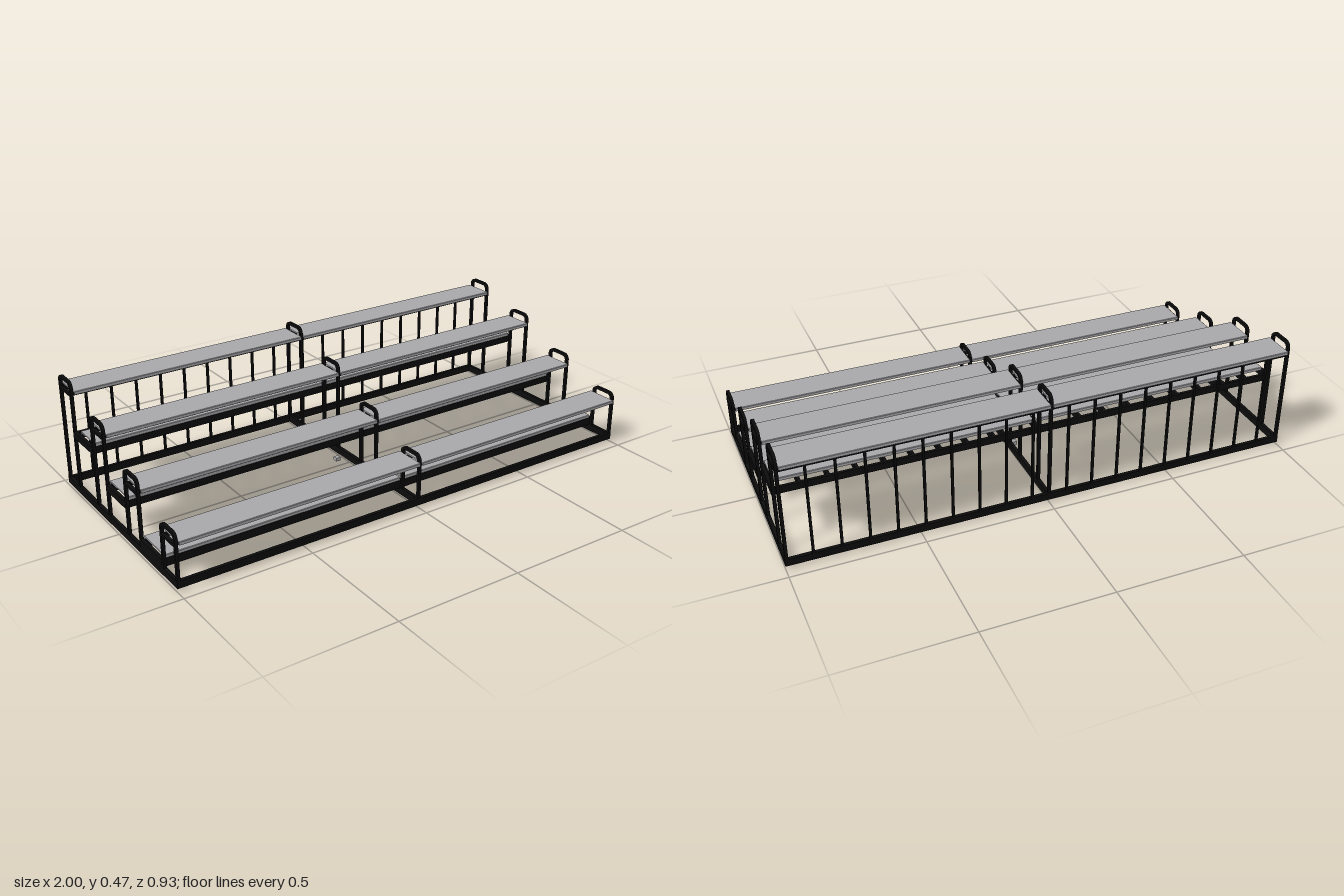
import * as THREE from 'three';

const black = new THREE.MeshStandardMaterial({ color: 0x0c0c0c });
black.name = 'black steel';
const grey = new THREE.MeshStandardMaterial({ color: 0xa8a8ab });
grey.name = 'aluminium';

const frameX = [-0.993, 0, 0.993];
const seats = [ // centre z, board top, hoop top
  { z: 0.4, top: 0.191, hoop: 0.22 },
  { z: 0.13, top: 0.261, hoop: 0.30 },
  { z: -0.13, top: 0.365, hoop: 0.401 },
  { z: -0.4, top: 0.432, hoop: 0.467 },
];
const treads = [ // front and back of frame, back of board, frame bottom/top, board top, first rung
  { front: 0.345, back: 0.185, boardBack: 0.185, low: 0.038, high: 0.069, top: 0.081, rung: 2 },
  { front: 0.077, back: -0.077, boardBack: -0.077, low: 0.14, high: 0.167, top: 0.18, rung: 1 },
  { front: -0.183, back: -0.347, boardBack: -0.312, low: 0.243, high: 0.27, top: 0.283, rung: 1 },
];
const barX = (k) => 0.07 + 0.1035 * k;

export function createModel() {
  const root = new THREE.Group();
  root.name = 'bleachers';

  // Box from its limits on each axis
  const box = (name, mat, x0, x1, y0, y1, z0, z1, parent = root) => {
    const m = new THREE.Mesh(new THREE.BoxGeometry(x1 - x0, y1 - y0, z1 - z0), mat);
    m.position.set((x0 + x1) / 2, (y0 + y1) / 2, (z0 + z1) / 2);
    m.name = name;
    parent.add(m);
    return m;
  };

  // Plank: shallow channel extruded along x, one for each half
  const planks = (name, zBack, zFront, top, depth, parent) => {
    const s = new THREE.Shape();
    const t = 0.006;
    [[-zFront, top - depth], [-zFront + t, top - depth], [-zFront + t, top - t], [-zBack - t, top - t],
      [-zBack - t, top - depth], [-zBack, top - depth], [-zBack, top - 0.002], [-zBack - 0.002, top],
      [-zFront + 0.002, top], [-zFront, top - 0.002]]
      .forEach(([a, b], i) => (i ? s.lineTo(a, b) : s.moveTo(a, b)));
    const geo = new THREE.ExtrudeGeometry(s, { depth: 0.98, bevelEnabled: false });
    geo.rotateY(Math.PI / 2);
    for (const x of [-0.986, 0.006]) {
      const m = new THREE.Mesh(geo, grey);
      m.position.x = x;
      m.name = name;
      parent.add(m);
    }
  };

  // Ground frame
  const base = new THREE.Group();
  base.name = 'baseFrame';
  root.add(base);
  for (const x of frameX) box('baseSideRail', black, x - 0.007, x + 0.007, 0.012, 0.04, -0.455, 0.455, base);
  for (const s of [-1, 1]) {
    box('baseLongRail', black, -0.993, 0.993, 0.012, 0.04, s * 0.448 - 0.007, s * 0.448 + 0.007, base);
  }
  box('footBlock', grey, -0.04, -0.02, 0, 0.014, -0.055, -0.035, base);

  // Seat rows: hooped legs, cross bars, under rails and planks
  for (const { z, top, hoop } of seats) {
    const row = new THREE.Group();
    row.name = 'seatRow';
    root.add(row);

    // Flat hoop outline with rounded top corners, hollow inside
    const outline = (half, y, r) => {
      const s = new THREE.Shape();
      s.moveTo(-half, 0.03);
      s.lineTo(half, 0.03);
      s.lineTo(half, y - r);
      s.absarc(half - r, y - r, r, 0, Math.PI / 2);
      s.lineTo(-half + r, y);
      s.absarc(-half + r, y - r, r, Math.PI / 2, Math.PI);
      s.lineTo(-half, 0.03);
      return s;
    };
    const shape = outline(0.055, hoop, 0.026);
    shape.holes.push(outline(0.0435, hoop - 0.0115, 0.015));
    const geo = new THREE.ExtrudeGeometry(shape, { depth: 0.012, bevelEnabled: false, curveSegments: 6 });
    geo.translate(0, 0, -0.006);
    geo.rotateY(Math.PI / 2);
    for (const x of frameX) {
      const m = new THREE.Mesh(geo, black);
      m.position.set(x, 0, z);
      m.name = 'legHoop';
      row.add(m);
      box('seatCrossBar', black, x - 0.007, x + 0.007, top - 0.023, top - 0.013, z - 0.05, z + 0.05, row);
    }
    for (const s of [-1, 1]) {
      box('seatUnderRail', black, -0.99, 0.99, top - 0.025, top - 0.012, z + s * 0.035 - 0.006, z + s * 0.035 + 0.006, row);
    }
    planks('seatPlank', z - 0.064, z + 0.064, top, 0.013, row);
  }

  // Foot treads on ladder frames
  for (const t of treads) {
    const row = new THREE.Group();
    row.name = 'footTread';
    root.add(row);
    for (const x of frameX) box('treadSideBeam', black, x - 0.007, x + 0.007, t.low, t.high, t.back, t.front, row);
    box('treadFrontRail', black, -0.99, 0.99, t.low, t.high, t.front - 0.012, t.front, row);
    box('treadBackRail', black, -0.99, 0.99, t.low, t.high, t.back, t.back + 0.012, row);
    for (let k = t.rung; k < 9; k++) {
      for (const s of [-1, 1]) {
        const x = s * barX(k);
        box('treadRung', black, x - 0.006, x + 0.006, t.low, t.high, t.back + 0.01, t.front - 0.01, row);
      }
    }
    planks('treadPlank', t.boardBack, t.front - 0.003, t.top, t.top - t.high, row);
  }

  // Guard bars closing the back
  for (let k = 0; k < 9; k++) {
    for (const s of [-1, 1]) {
      const x = s * barX(k);
      box('backGuardBar', black, x - 0.0045, x + 0.0045, 0.035, 0.42, -0.458, -0.449);
    }
  }
  box('backGuardTopRail', black, -0.99, 0.99, 0.409, 0.419, -0.457, -0.447);
  return root;
}
